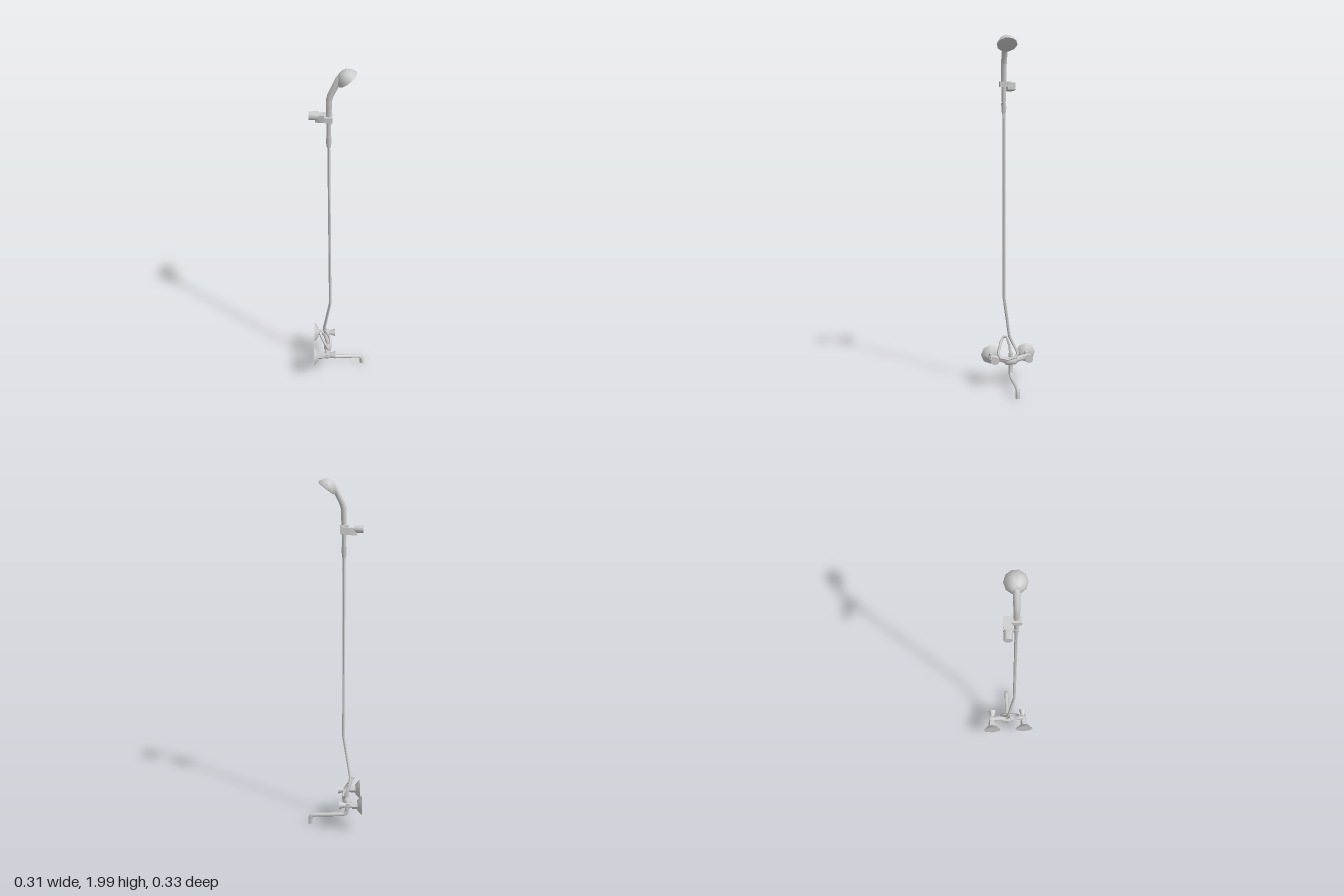
import * as THREE from 'three';
import { toCreasedNormals } from 'three/addons/utils/BufferGeometryUtils.js';

const V = (x, y, z) => new THREE.Vector3(x, y, z);

// Straight-sided path whose rings fall exactly on its corners
class Polyline extends THREE.Curve {
  constructor(points) {
    super();
    this.points = points;
  }
  getPointAt(t, target = new THREE.Vector3()) {
    return target.copy(this.points[Math.round(t * (this.points.length - 1))]);
  }
  getTangentAt(t, target = new THREE.Vector3()) {
    const p = this.points, n = p.length - 1, i = Math.round(t * n);
    const into = i > 0 ? p[i].clone().sub(p[i - 1]).normalize() : V(0, 0, 0);
    const out = i < n ? p[i + 1].clone().sub(p[i]).normalize() : V(0, 0, 0);
    return target.copy(into.add(out).normalize());
  }
}

export function createModel() {
  const root = new THREE.Group();
  const material = new THREE.MeshStandardMaterial({ color: 0xcccccc, side: THREE.DoubleSide });

  const add = (name, geometry, parent = root) => {
    const mesh = new THREE.Mesh(toCreasedNormals(geometry, 0.9), material);
    mesh.name = name;
    parent.add(mesh);
    return mesh;
  };

  // Pipe through rows of [x, y, z, radius], with closed ends
  const pipe = (name, rows, sides = 8, parent = root) => {
    const points = rows.map(([x, y, z]) => V(x, y, z));
    const geometry = new THREE.TubeGeometry(new Polyline(points), rows.length - 1, 1, sides);
    const pos = geometry.attributes.position, p = new THREE.Vector3();
    for (let i = 0; i < pos.count; i++) {
      const k = Math.floor(i / (sides + 1));
      p.fromBufferAttribute(pos, i).sub(points[k]).multiplyScalar(rows[k][3]).add(points[k]);
      pos.setXYZ(i, p.x, p.y, p.z);
    }
    // End caps fan out from a ring centre
    const index = [...geometry.index.array];
    const last = (rows.length - 1) * (sides + 1);
    for (let j = 1; j < sides - 1; j++) {
      index.push(0, j, j + 1, last, last + j + 1, last + j);
    }
    geometry.setIndex(index);
    return add(name, geometry, parent);
  };

  // Wall mounts with flange, nut, elbow and tap knob
  const wallY = 0.165;
  for (const side of [1, -1]) {
    const z = 0.105 * side;
    const mount = new THREE.Group();
    mount.name = side > 0 ? 'leftMount' : 'rightMount';
    root.add(mount);
    pipe('wallFlange', [[-0.155, wallY, z, 0.058], [-0.13, wallY, z, 0.03]], 8, mount);
    pipe('nut', [[-0.13, wallY, z, 0.02], [-0.1, wallY, z, 0.02]], 6, mount);
    pipe('inlet', [[-0.102, wallY, z, 0.016], [-0.064, wallY, z, 0.016]], 8, mount);
    pipe('tapKnob', [[-0.066, wallY, z * 0.95, 0.012], [-0.058, wallY, z * 0.95, 0.013],
      [-0.025, wallY, z * 0.95, 0.024]], 10, mount);
  }

  // Mixer body sagging slightly between the two inlets
  pipe('mixerBody', [
    [-0.077, wallY, -0.118, 0.017], [-0.077, wallY, -0.09, 0.016], [-0.072, 0.155, -0.035, 0.018],
    [-0.072, 0.147, -0.02, 0.025], [-0.072, 0.147, 0.02, 0.025],
    [-0.072, 0.155, 0.035, 0.018], [-0.077, wallY, 0.09, 0.016], [-0.077, wallY, 0.118, 0.017],
  ], 10);
  pipe('hoseOutlet', [[-0.074, 0.15, 0, 0.016], [-0.074, 0.195, 0, 0.013]]);

  // Spout
  pipe('spout', [
    [-0.076, 0.15, 0, 0.014], [-0.076, 0.078, 0, 0.013], [-0.068, 0.062, 0, 0.013],
    [-0.05, 0.055, 0, 0.012], [0.115, 0.055, 0, 0.012], [0.133, 0.049, 0, 0.013],
    [0.141, 0.032, 0, 0.013], [0.141, 0, 0, 0.013],
  ], 10);

  // Hose with its loose loop around the mixer
  const r = 0.0085;
  pipe('hose', [
    [-0.055, 1.6, 0.042, r], [-0.055, 0.53, 0.042, r], [-0.094, 0.29, 0.004, r],
    [-0.088, 0.25, -0.015, r], [-0.065, 0.195, -0.04, r], [-0.056, 0.172, -0.028, r],
    [-0.055, 0.16, 0.02, r], [-0.06, 0.17, 0.062, r], [-0.072, 0.195, 0.074, r],
    [-0.105, 0.255, 0.052, r], [-0.117, 0.28, 0.034, r], [-0.108, 0.28, 0.018, r],
    [-0.09, 0.235, 0.003, r], [-0.074, 0.18, 0, r],
  ], 6);

  // Hand shower: hose nut, handle and head
  pipe('hoseNut', [[-0.055, 1.57, 0.042, 0.01], [-0.055, 1.6, 0.042, 0.014], [-0.055, 1.63, 0.042, 0.014]]);
  pipe('handle', [
    [-0.055, 1.63, 0.042, 0.011], [-0.054, 1.7, 0.042, 0.013], [-0.052, 1.83, 0.042, 0.016],
    [-0.045, 1.857, 0.042, 0.016], [-0.004, 1.94, 0.042, 0.017], [0.012, 1.955, 0.042, 0.016],
  ], 10);
  const headProfile = [[0, 0], [0.045, 0], [0.056, 0.003], [0.056, 0.009], [0.044, 0.031], [0.029, 0.047], [0.014, 0.053], [0, 0.054]]
    .map(([x, y]) => new THREE.Vector2(x, y));
  const head = add('showerHead', new THREE.LatheGeometry(headProfile, 10));
  head.position.set(0.042, 1.935, 0.04);
  head.quaternion.setFromUnitVectors(V(0, 1, 0), V(-0.6, 0.8, 0).normalize());

  // Wall bracket: stub, chamfered block and clamp round the handle
  pipe('bracketStub', [[-0.155, 1.728, 0, 0.022], [-0.105, 1.728, 0, 0.022]], 10);
  const outline = new THREE.Shape([
    [-0.118, -0.01], [-0.1, -0.021], [-0.03, -0.021], [-0.03, 0.021], [-0.1, 0.021], [-0.118, 0.01],
  ].map(([x, y]) => new THREE.Vector2(x, y)));
  const block = add('bracketBlock', new THREE.ExtrudeGeometry(outline, { depth: 0.038, bevelEnabled: false })
    .rotateX(-Math.PI / 2));
  block.position.set(-0.004, 1.705, 0);
  block.rotation.z = 0.08;
  const clamp = add('bracketClamp', new THREE.BoxGeometry(0.04, 0.028, 0.05));
  clamp.position.set(-0.056, 1.732, 0.041);

  return root;
}
